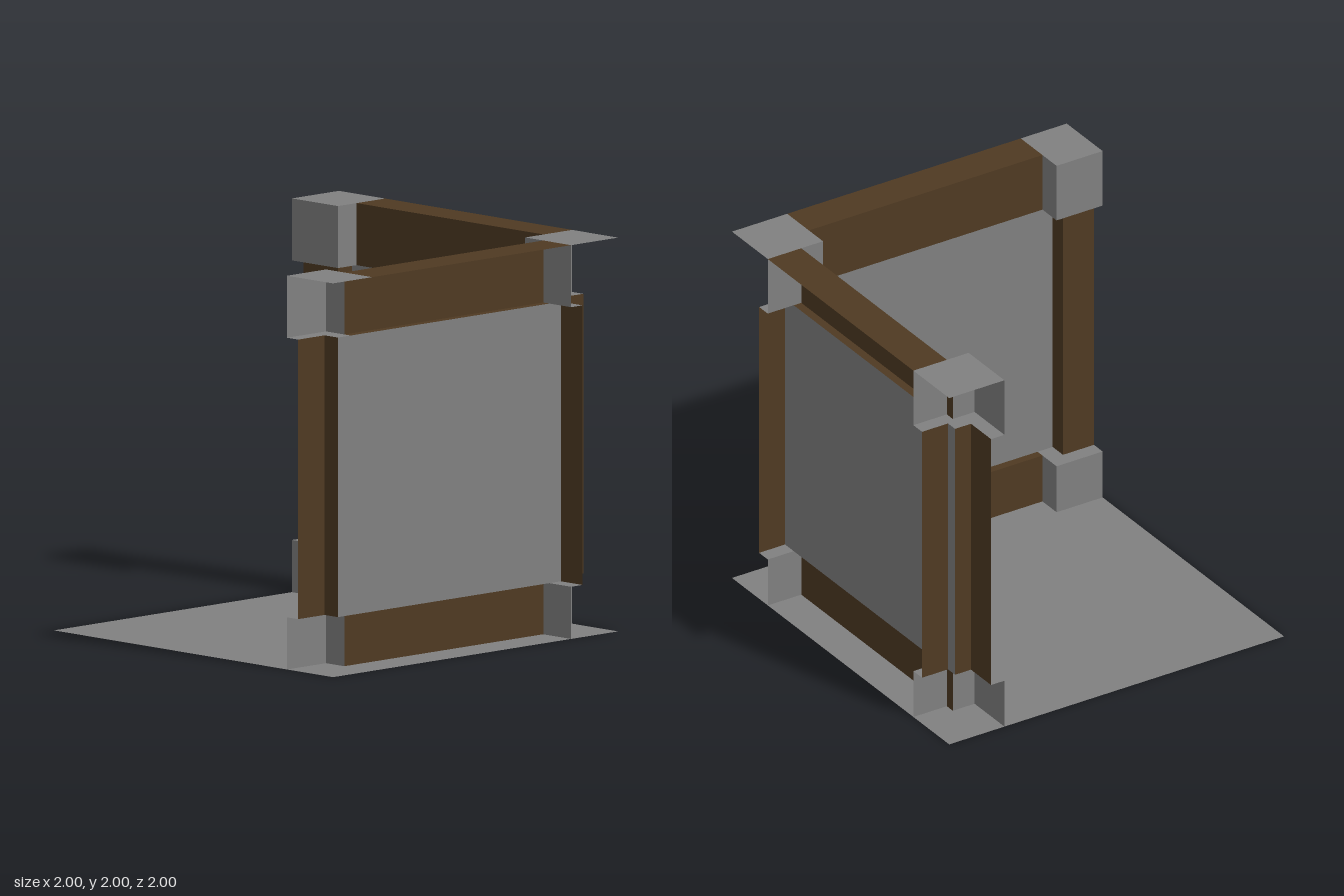
import * as THREE from 'three';

const grey = new THREE.MeshStandardMaterial({ color: 0x808080, side: THREE.DoubleSide });
const wood = new THREE.MeshStandardMaterial({ color: 0x4f3a22, side: THREE.DoubleSide });

// Flat rectangle spanning three ranges, one of which has no thickness
function sheet(parent, name, material, x0, x1, y0, y1, z0, z1) {
  const w = x1 - x0, h = y1 - y0, d = z1 - z0;
  let geo;
  if (d === 0) geo = new THREE.PlaneGeometry(w, h);
  else if (w === 0) geo = new THREE.PlaneGeometry(d, h).rotateY(Math.PI / 2);
  else geo = new THREE.PlaneGeometry(w, d).rotateX(-Math.PI / 2);
  geo.translate((x0 + x1) / 2, (y0 + y1) / 2, (z0 + z1) / 2);
  const mesh = new THREE.Mesh(geo, material);
  mesh.name = name;
  parent.add(mesh);
}

export function createModel() {
  const model = new THREE.Group();
  model.name = 'halfCrate';
  const LOW = 0.265, HIGH = 1.685;
  const BLOCK = 0.67, STEP = 0.725, POST = 0.75, RAIL = 0.8, EDGE = 0.815, PANEL = 0.845;

  const group = (name) => {
    const g = new THREE.Group();
    g.name = name;
    model.add(g);
    return g;
  };

  // Floor and the two recessed wall panels
  sheet(model, 'floor', grey, -1, 1, 0, 0, -1, 1);
  sheet(model, 'frontPanel', grey, -EDGE, RAIL, LOW, HIGH, PANEL, PANEL);
  sheet(model, 'rightPanel', grey, PANEL, PANEL, LOW, HIGH, -EDGE, POST);

  // Rails: inner face plus the narrow lip that meets the panel
  const rails = group('rails');
  for (const [y0, y1, lip] of [[0, LOW, LOW], [HIGH, 2, HIGH]]) {
    sheet(rails, 'frontRail', wood, -STEP, STEP, y0, y1, RAIL, RAIL);
    sheet(rails, 'frontRailLip', wood, -STEP, BLOCK, lip, lip, RAIL, PANEL);
    sheet(rails, 'rightRail', wood, RAIL, RAIL, y0, y1, -STEP, BLOCK);
    sheet(rails, 'rightRailLip', wood, RAIL, PANEL, lip, lip, -BLOCK, BLOCK);
  }
  sheet(rails, 'frontRailTop', wood, -STEP, BLOCK, 2, 2, RAIL, 1);
  sheet(rails, 'rightRailTop', wood, RAIL, 1, 2, 2, -BLOCK, BLOCK);

  // Corner posts: inner faces and returns to the panels
  const posts = group('cornerPosts');
  const post = (x0, x1, z0, z1) => sheet(posts, 'postFace', wood, x0, x1, LOW, HIGH, z0, z1);
  post(POST, 1, POST, POST);
  post(POST, POST, POST, 1);
  post(RAIL, RAIL, POST, PANEL);
  post(POST, 1, -POST, -POST);
  post(POST, POST, -1, -POST);
  post(POST, PANEL, -EDGE, -EDGE);
  post(-1, -EDGE, POST, POST);
  post(-EDGE, -EDGE, POST, PANEL);

  // Corner blocks, lower and upper: inner faces, returns and ledges
  const blocks = group('cornerBlocks');
  for (const [y0, y1, ledgeY] of [[0, LOW, LOW], [HIGH, 2, HIGH]]) {
    const face = (x0, x1, z0, z1) => sheet(blocks, 'blockFace', grey, x0, x1, y0, y1, z0, z1);
    const ledge = (x0, x1, z0, z1) => sheet(blocks, 'blockLedge', grey, x0, x1, ledgeY, ledgeY, z0, z1);
    // front right
    face(BLOCK, 1, BLOCK, BLOCK);
    face(BLOCK, BLOCK, BLOCK, 1);
    face(STEP, STEP, BLOCK, RAIL);
    ledge(BLOCK, 1, BLOCK, POST);
    ledge(BLOCK, POST, POST, 1);
    ledge(POST, RAIL, POST, PANEL);
    // back right
    face(BLOCK, 1, -BLOCK, -BLOCK);
    face(BLOCK, BLOCK, -1, -BLOCK);
    face(BLOCK, RAIL, -STEP, -STEP);
    ledge(BLOCK, 1, -POST, -BLOCK);
    ledge(BLOCK, POST, -1, -POST);
    ledge(POST, PANEL, -EDGE, -POST);
    // front left
    face(-1, -STEP, BLOCK, BLOCK);
    face(-STEP, -STEP, BLOCK, RAIL);
    ledge(-1, -STEP, BLOCK, POST);
    ledge(-EDGE, -STEP, POST, PANEL);
  }

  // Plates capping the upper blocks
  sheet(blocks, 'frontRightCap', grey, BLOCK, 1, 2, 2, BLOCK, 1);
  sheet(blocks, 'backRightCap', grey, BLOCK, 1, 2, 2, -1, -BLOCK);
  sheet(blocks, 'frontLeftCap', grey, -1, -STEP, 2, 2, BLOCK, 1);

  return model;
}
